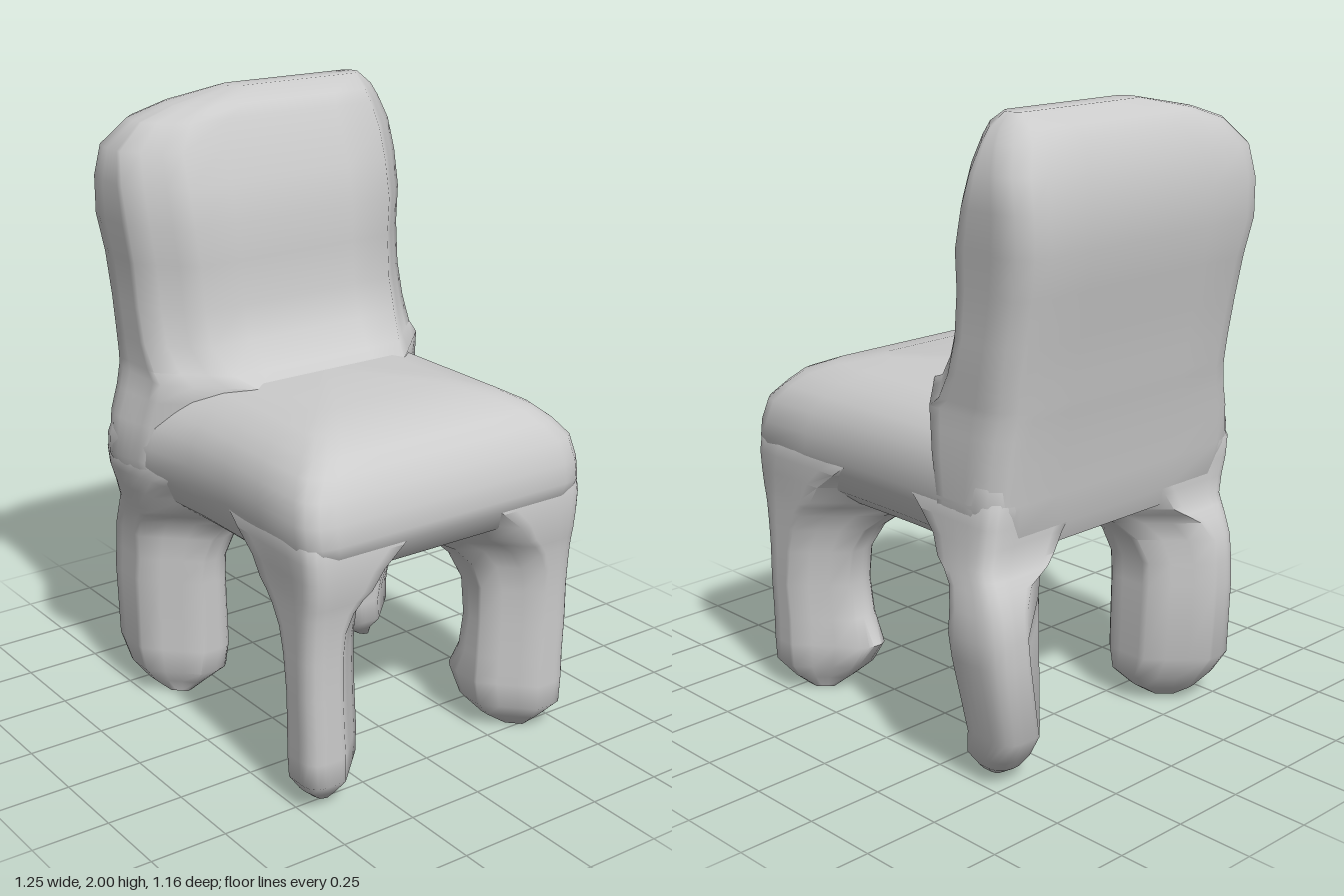
import * as THREE from 'three';
import { toCreasedNormals } from 'three/addons/utils/BufferGeometryUtils.js';

const material = new THREE.MeshStandardMaterial({ color: 0xcccccc, roughness: 0.9 });
const CORNERS = [[1, -1], [-1, -1], [-1, 1], [1, 1]];
const ARC = 3;  // facets per corner
const SIDE = 5; // facets per straight side

// One cross-section: a rectangle whose corners are rounded, or cut off straight where isCut says so
function outline([, x0, x1, z0, z1, size], round, isCut) {
  const shortest = Math.min(x1 - x0, z1 - z0);
  const corners = CORNERS.map(([sx, sz], c) => {
    const cut = isCut(sx, sz);
    const r = cut ? Math.min(size, shortest * 0.6) : Math.min(size, round, shortest * 0.38);
    const cx = sx > 0 ? x1 - r : x0 + r, cz = sz > 0 ? z1 - r : z0 + r;
    const at = (q) => new THREE.Vector2(
      cx + r * Math.cos(q * Math.PI / 2), cz - r * Math.sin(q * Math.PI / 2));
    return Array.from({ length: ARC + 1 }, (_, k) =>
      cut ? at(c).lerp(at(c + 1), k / ARC) : at(c + k / ARC));
  });
  return corners.flatMap((corner, c) => {
    const from = corner[ARC], to = corners[(c + 1) % 4][0];
    const side = Array.from({ length: SIDE - 1 }, (_, k) => from.clone().lerp(to, (k + 1) / SIDE));
    return [...corner, ...side];
  });
}

// Skins cross-sections [y, x0, x1, z0, z1, corner size] stacked upwards
function loft(name, rings, round, isCut) {
  const pos = [], index = [], n = 4 * (ARC + SIDE), last = rings.length - 1;
  const add = (x, y, z) => {
    const p = lumps(new THREE.Vector3(x, y, z));
    pos.push(p.x, p.y, p.z);
  };
  for (const ring of rings) {
    for (const p of outline(ring, round, isCut)) add(p.x, ring[0], p.y);
  }
  for (let i = 0; i < last; i++) {
    for (let j = 0; j < n; j++) {
      const a = i * n + j, b = i * n + (j + 1) % n;
      index.push(a, b, b + n, a, b + n, a + n);
    }
  }
  // Closing caps
  for (const i of [0, last]) {
    const [y, x0, x1, z0, z1] = rings[i], centre = pos.length / 3;
    add((x0 + x1) / 2, y, (z0 + z1) / 2);
    for (let j = 0; j < n; j++) {
      const a = i * n + j, b = i * n + (j + 1) % n;
      if (i === last) index.push(centre, a, b);
      else index.push(centre, b, a);
    }
  }
  const geometry = new THREE.BufferGeometry();
  geometry.setAttribute('position', new THREE.Float32BufferAttribute(pos, 3));
  geometry.setIndex(index);
  const mesh = new THREE.Mesh(toCreasedNormals(geometry, 1), material);
  mesh.name = name;
  return mesh;
}

const bump = (u, v, cu, cv, w, h) => Math.exp(-(((u - cu) / w) ** 2) - ((v - cv) / h) ** 2);

// Uneven swellings: both back posts, the toe of one front leg, and the front corners of the seat
function lumps(p) {
  if (p.z > 0.35) p.z += 0.07 * bump(p.x, p.y, -0.41, 0.9, 0.2, 0.17);
  if (p.z < -0.35) p.z -= 0.075 * bump(p.x, p.y, -0.43, 0.52, 0.2, 0.2);
  if (p.x > 0.2 && p.x < 0.4) p.x -= 0.06 * bump(p.z, p.y, -0.3, 0.17, 0.1, 0.07);
  if (Math.abs(p.z) > 0.45) p.z += Math.sign(p.z) * 0.015 * bump(p.x, p.y, 0.5, 0.9, 0.2, 0.15);
  return p;
}

// Legs: [y, inner x, outer x, inner z, outer z, corner size], flaring into the arches
const FRONT_LEG = [
  [0, 0.41, 0.51, 0.35, 0.42, 0.04],
  [0.04, 0.37, 0.55, 0.29, 0.465, 0.1],
  [0.09, 0.335, 0.59, 0.25, 0.5, 0.13],
  [0.17, 0.325, 0.59, 0.24, 0.505, 0.14],
  [0.26, 0.325, 0.59, 0.245, 0.505, 0.14],
  [0.38, 0.33, 0.59, 0.25, 0.51, 0.14],
  [0.5, 0.315, 0.59, 0.25, 0.51, 0.14],
  [0.58, 0.275, 0.595, 0.225, 0.51, 0.16],
  [0.64, 0.21, 0.6, 0.17, 0.51, 0.19],
  [0.675, 0.14, 0.605, 0.1, 0.51, 0.23],
  [0.7, 0.08, 0.61, 0.04, 0.51, 0.26],
  [0.76, 0.05, 0.615, 0.01, 0.51, 0.25],
  [0.82, 0.03, 0.615, 0, 0.51, 0.19],
  [0.88, 0.02, 0.605, 0, 0.505, 0.12],
  [0.96, 0.02, 0.57, 0, 0.46, 0.1],
];
const BACK_LEG = [
  [0, -0.32, -0.42, 0.35, 0.42, 0.04],
  [0.04, -0.29, -0.48, 0.29, 0.465, 0.1],
  [0.09, -0.245, -0.52, 0.25, 0.5, 0.13],
  [0.17, -0.24, -0.57, 0.24, 0.51, 0.15],
  [0.42, -0.235, -0.575, 0.25, 0.515, 0.15],
  [0.5, -0.23, -0.575, 0.25, 0.51, 0.15],
  [0.58, -0.21, -0.565, 0.225, 0.51, 0.17],
  [0.64, -0.17, -0.54, 0.17, 0.51, 0.19],
  [0.675, -0.11, -0.52, 0.1, 0.51, 0.21],
  [0.7, -0.05, -0.505, 0.04, 0.51, 0.23],
  [0.76, -0.03, -0.5, 0.01, 0.51, 0.22],
  [0.82, -0.01, -0.5, 0, 0.51, 0.18],
  [0.88, 0, -0.5, 0, 0.505, 0.12],
  [0.96, 0, -0.49, 0, 0.46, 0.1],
];

// A leg is a bar set diagonally: the corners towards and away from the centre stay, the others are cut
function leg(name, profile, sx, sz) {
  const rings = profile.map(([y, xi, xo, zi, zo, size]) => [
    y, Math.min(xi, xo), Math.max(xi, xo), Math.min(sz * zi, sz * zo), Math.max(sz * zi, sz * zo), size]);
  return loft(name, rings, 0.05, (cx, cz) => cx * cz !== sx * sz);
}

export function createModel() {
  const group = new THREE.Group();
  group.name = 'chair';

  // Cushion-like seat with a rounded underside
  group.add(loft('seat', [
    [0.685, -0.32, 0.38, -0.32, 0.32, 0.08],
    [0.7, -0.4, 0.47, -0.4, 0.4, 0.08],
    [0.75, -0.47, 0.56, -0.46, 0.46, 0.08],
    [0.83, -0.5, 0.615, -0.5, 0.5, 0.08],
    [0.87, -0.505, 0.625, -0.51, 0.51, 0.08],
    [0.93, -0.505, 0.615, -0.51, 0.51, 0.08],
    [1.0, -0.5, 0.595, -0.5, 0.5, 0.08],
    [1.05, -0.48, 0.555, -0.465, 0.465, 0.08],
    [1.09, -0.46, 0.515, -0.425, 0.425, 0.08],
    [1.125, -0.44, 0.43, -0.36, 0.36, 0.07],
    [1.15, -0.42, 0.3, -0.25, 0.25, 0.05],
  ], 0.08, () => false));

  // Leaning backrest with bevelled front corners, filleted into the seat and lower at one top corner
  group.add(loft('backrest', [
    [0.72, -0.48, -0.15, -0.44, 0.44, 0.16],
    [0.78, -0.5, -0.1, -0.5, 0.5, 0.16],
    [0.88, -0.51, -0.1, -0.51, 0.51, 0.16],
    [1.0, -0.525, -0.06, -0.51, 0.51, 0.18],
    [1.08, -0.535, -0.02, -0.505, 0.505, 0.21],
    [1.14, -0.545, 0.0, -0.5, 0.5, 0.22],
    [1.17, -0.55, -0.08, -0.5, 0.5, 0.18],
    [1.25, -0.56, -0.155, -0.505, 0.505, 0.15],
    [1.36, -0.58, -0.185, -0.505, 0.505, 0.15],
    [1.5, -0.605, -0.195, -0.505, 0.51, 0.15],
    [1.62, -0.628, -0.2, -0.515, 0.525, 0.15],
    [1.74, -0.628, -0.23, -0.52, 0.525, 0.15],
    [1.84, -0.61, -0.27, -0.515, 0.51, 0.14],
    [1.92, -0.575, -0.305, -0.475, 0.43, 0.11],
    [1.96, -0.545, -0.33, -0.45, 0.31, 0.09],
    [2.0, -0.49, -0.41, -0.41, 0.1, 0.03],
  ], 0.1, (sx) => sx > 0));

  // Four stubby legs
  for (const sz of [1, -1]) {
    const side = sz > 0 ? 'A' : 'B';
    group.add(leg('frontLeg' + side, FRONT_LEG, 1, sz));
    group.add(leg('backLeg' + side, BACK_LEG, -1, sz));
  }
  return group;
}
